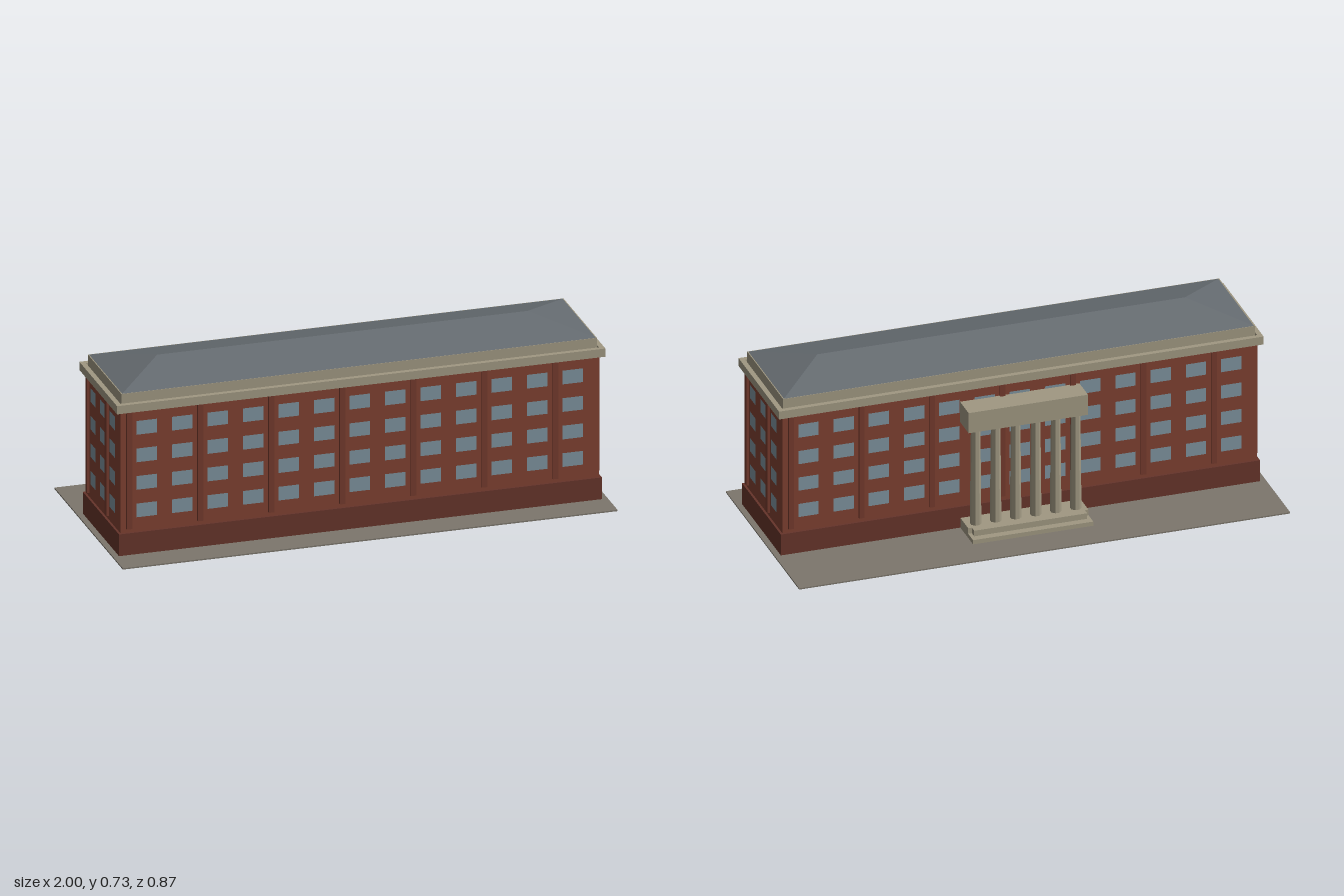
import * as THREE from 'three';

const mat = (color) => new THREE.MeshStandardMaterial({ color });
const BRICK = mat(0x7e4030), PILASTER = mat(0x733a2c), BASE = mat(0x66342a);
const STONE = mat(0xa09882), ROOF = mat(0x656b70), GLASS = mat(0x7d929d), PAVING = mat(0x7c766c);
ROOF.flatShading = true;
STONE.flatShading = true;

const CZ = 0.082;               // depth centre of the main block
const HX = 0.967, HZ = 0.221;   // half width and half depth of the walls
const WALL_TOP = 0.6;

function add(parent, name, geometry, material, x = 0, y = 0, z = 0) {
  const mesh = new THREE.Mesh(geometry, material);
  mesh.name = name;
  mesh.position.set(x, y, z);
  parent.add(mesh);
  return mesh;
}

// Box given by its half width and its y and z ranges
function block(parent, name, material, hx, y0, y1, z0, z1) {
  return add(parent, name, new THREE.BoxGeometry(2 * hx, y1 - y0, z1 - z0), material,
    0, (y0 + y1) / 2, (z0 + z1) / 2);
}

// Windows and pilasters of one wall; local +z points outwards
function facade(name, columns, pitch, windowWidth) {
  const wall = new THREE.Group();
  wall.name = name;
  const start = -columns * pitch / 2;
  const pane = new THREE.PlaneGeometry(windowWidth, 0.057);
  const pier = new THREE.BoxGeometry(0.022, WALL_TOP - 0.112, 0.012);
  for (let c = 0; c < columns; c++) {
    for (let r = 0; r < 4; r++) {
      add(wall, 'window', pane, GLASS, start + (c + 0.5) * pitch, 0.184 + r * 0.1143, 0.002);
    }
    if (c % 2 === 0) {
      add(wall, 'pilaster', pier, PILASTER, start + c * pitch, (WALL_TOP + 0.112) / 2, 0.004);
    }
  }
  return wall;
}

// Hipped roof: rectangular eaves rising to a ridge along x
function hipRoof(hx, hz, ridge, height) {
  const a = [-hx, 0, hz], b = [hx, 0, hz], c = [hx, 0, -hz], d = [-hx, 0, -hz];
  const e = [-ridge, height, 0], f = [ridge, height, 0];
  const faces = [a, b, f, a, f, e, c, d, e, c, e, f, b, c, f, d, a, e, a, d, c, a, c, b];
  const geometry = new THREE.BufferGeometry();
  geometry.setAttribute('position', new THREE.Float32BufferAttribute(faces.flat(), 3));
  geometry.computeVertexNormals();
  return geometry;
}

function rectangle(PathType, hx, hz) {
  return new PathType([[-hx, -hz], [hx, -hz], [hx, hz], [-hx, hz]]
    .map(([x, y]) => new THREE.Vector2(x, y)));
}

export function createModel() {
  const model = new THREE.Group();
  model.name = 'brickHall';

  // Ground, plinth and walls
  block(model, 'ground', PAVING, 1, 0.0006, 0.006, -0.437, 0.437);
  block(model, 'plinth', BASE, HX + 0.009, 0, 0.096, CZ - HZ - 0.01, CZ + HZ + 0.01);
  block(model, 'walls', BRICK, HX, 0.09, WALL_TOP, CZ - HZ, CZ + HZ);

  // Four facades, each turned to face outwards
  [['front', 0], ['right', 1], ['back', 2], ['left', 3]].forEach(([side, turn]) => {
    const long = turn % 2 === 0;
    const wall = long ? facade(side + 'Facade', 13, 0.1435, 0.083)
      : facade(side + 'Facade', 3, 0.124, 0.068);
    const angle = turn * Math.PI / 2;
    const out = long ? HZ : HX;
    wall.rotation.y = angle;
    wall.position.set(Math.sin(angle) * out, 0, CZ + Math.cos(angle) * out);
    model.add(wall);
  });

  // Cornice frame around the wall tops
  const frame = rectangle(THREE.Shape, HX + 0.02, HZ + 0.02);
  frame.holes.push(rectangle(THREE.Path, HX, HZ));
  const cornice = add(model, 'cornice',
    new THREE.ExtrudeGeometry(frame, { depth: 0.034, bevelEnabled: false }), STONE, 0, WALL_TOP, CZ);
  cornice.rotation.x = -Math.PI / 2;

  // Parapet and roof
  block(model, 'parapet', STONE, 0.961, WALL_TOP, 0.671, CZ - 0.214, CZ + 0.214);
  add(model, 'roof', hipRoof(0.957, 0.212, 0.749, 0.056), ROOF, 0, 0.671, CZ);

  // Portico at the back: platform, steps, columns and entablature
  const portico = new THREE.Group();
  portico.name = 'portico';
  model.add(portico);
  block(portico, 'platform', STONE, 0.245, 0, 0.048, -0.242, -0.14);
  block(portico, 'upperStep', STONE, 0.23, 0.024, 0.048, -0.27, -0.242);
  block(portico, 'lowerStep', STONE, 0.245, 0, 0.024, -0.3, -0.242);
  block(portico, 'entablature', STONE, 0.243, 0.458, 0.545, -0.242, -0.138);
  const shaft = new THREE.CylinderGeometry(0.0185, 0.0225, 0.41, 8);
  shaft.rotateY(Math.PI / 8);
  for (let i = 0; i < 6; i++) {
    add(portico, 'column', shaft, STONE, (i - 2.5) * 0.0815, 0.253, -0.21);
  }
  return model;
}
